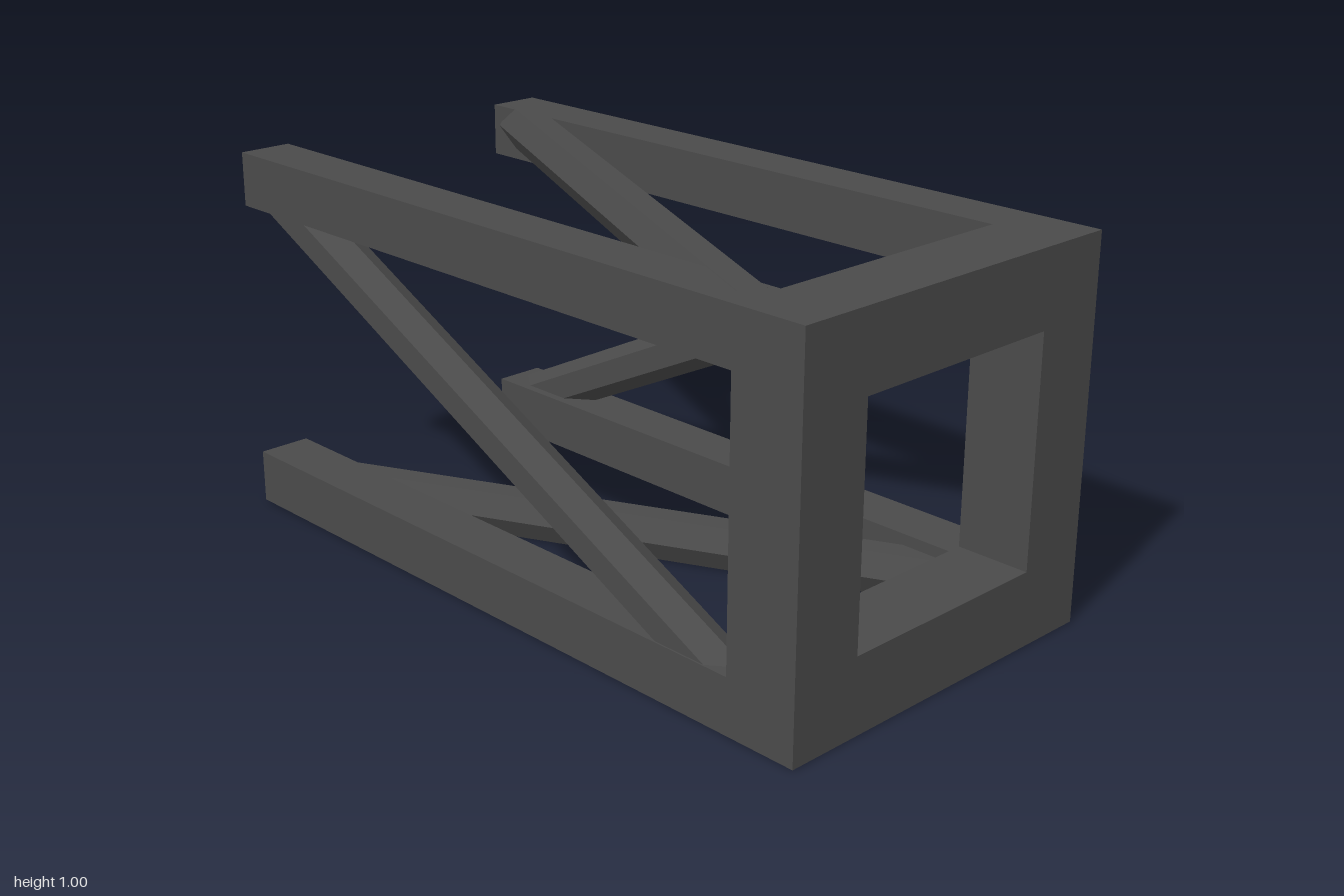
import * as THREE from 'three';

const HALF_W = 0.505;   // half width of the frame
const HALF_H = 0.499;   // half height of the frame
const MID_Y = 0.501;
const RAIL = 0.145;     // rail thickness
const BRACE_R = 0.067;  // hexagonal brace radius
const FACE = 0.501;     // distance of each brace's outer flat from the axis

function rectangle(Type, hw, hh) {
  const r = new Type();
  r.moveTo(-hw, -hh).lineTo(hw, -hh).lineTo(hw, hh).lineTo(-hw, hh).closePath();
  return r;
}

export function createModel() {
  const model = new THREE.Group();
  model.name = 'bracedFrame';
  const material = new THREE.MeshStandardMaterial({
    color: 0x4a4a4a, flatShading: true, side: THREE.DoubleSide,
  });
  const add = (name, geometry) => {
    const mesh = new THREE.Mesh(geometry, material);
    mesh.name = name;
    mesh.position.y = MID_Y;
    model.add(mesh);
    return mesh;
  };

  // Square front frame with a window
  const outline = rectangle(THREE.Shape, HALF_W, HALF_H);
  outline.holes.push(rectangle(THREE.Path, 0.305, 0.3));
  const frame = new THREE.ExtrudeGeometry(outline, { depth: 0.2, bevelEnabled: false });
  add('frontFrame', frame.translate(0, 0, 0.8));

  // Four hollow square rails, open at the back
  const rail = new THREE.CylinderGeometry(RAIL / Math.SQRT2, RAIL / Math.SQRT2, 1.8, 4, 1, true, Math.PI / 4);
  rail.rotateX(Math.PI / 2);
  for (const [side, sx] of [['left', 1], ['right', -1]]) {
    for (const [level, sy] of [['Top', 1], ['Bottom', -1]]) {
      const mesh = add(`${side}${level}Rail`, rail);
      mesh.position.x = sx * (HALF_W - RAIL / 2);
      mesh.position.y += sy * (HALF_H - RAIL / 2);
      mesh.position.z = -0.1;
    }
  }

  // Hexagonal diagonal braces, one per side, turned around the long axis
  const offset = FACE - BRACE_R * Math.cos(Math.PI / 6);
  const start = new THREE.Vector3(-0.41, offset, 0.765);
  const end = new THREE.Vector3(0.415, offset, -0.943);
  const along = end.clone().sub(start);
  const brace = new THREE.CylinderGeometry(BRACE_R, BRACE_R, along.length(), 6, 1, true);
  const up = new THREE.Vector3(0, 1, 0);
  along.normalize();
  const middle = start.add(end).multiplyScalar(0.5);
  brace.applyMatrix4(new THREE.Matrix4()
    .makeBasis(up, along, up.clone().cross(along))
    .setPosition(middle));
  ['top', 'right', 'bottom', 'left'].forEach((side, i) => {
    add(`${side}Brace`, brace).rotation.z = i * Math.PI / 2;
  });

  return model;
}
